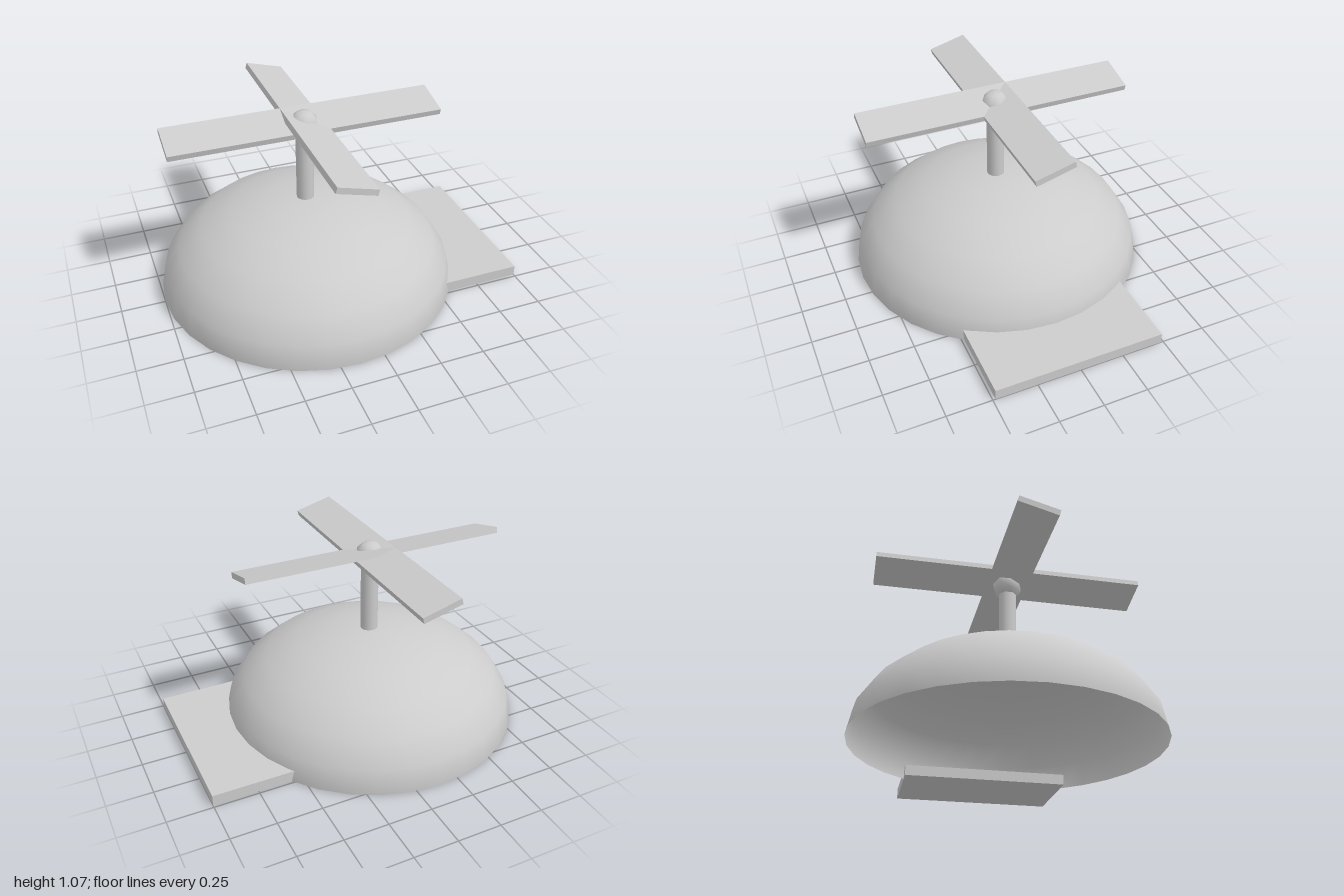
import * as THREE from 'three';

export function createModel() {
  const group = new THREE.Group();
  const grey = new THREE.MeshStandardMaterial({ color: 0xcccccc });
  grey.name = 'light grey';
  grey.side = THREE.DoubleSide;

  const axisX = -0.143; // centre of cap and rotor
  const rotorY = 1.006;
  const tilt = Math.PI / 12;

  function add(name, geometry, x, y, z = 0) {
    const mesh = new THREE.Mesh(geometry, grey);
    mesh.name = name;
    mesh.position.set(x, y, z);
    group.add(mesh);
    return mesh;
  }

  // Cap: squashed hollow half sphere, open underneath
  const dome = new THREE.SphereGeometry(0.857, 32, 6, 0, Math.PI * 2, 0, Math.PI / 2);
  dome.scale(1, 0.535 / 0.857, 1);
  add('capDome', dome, axisX, 0);

  // Flat brim, running a little way inside the cap
  add('brim', new THREE.BoxGeometry(0.52, 0.062, 0.97), 0.74, 0.031);

  // Rotor shaft and hub
  add('shaft', new THREE.CylinderGeometry(0.05, 0.05, 0.44, 16), axisX, 0.75);
  add('hub', new THREE.SphereGeometry(0.085, 8, 6), axisX, 0.983);

  // Two crossed blades, each pitched about its own length
  const length = 1.535, thickness = 0.034, width = 0.224;
  const bladeX = add('bladeAcross', new THREE.BoxGeometry(length, thickness, width), axisX, rotorY);
  bladeX.rotation.x = tilt;
  const bladeZ = add('bladeLengthwise', new THREE.BoxGeometry(width, thickness, length), axisX, rotorY);
  bladeZ.rotation.z = -tilt;

  return group;
}
